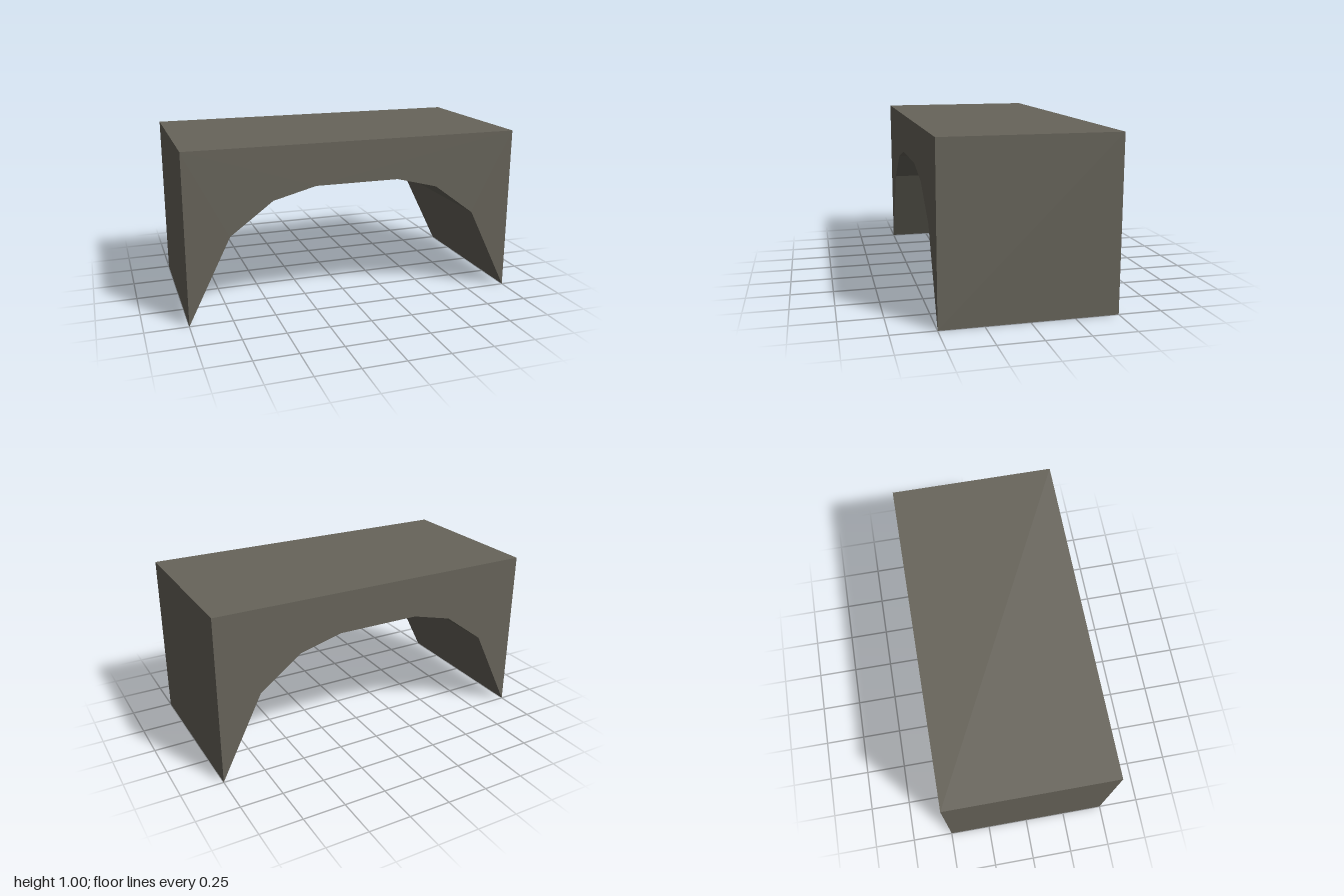
import * as THREE from 'three';

export function createModel() {
  const model = new THREE.Group();
  model.name = 'archBridge';

  const stone = new THREE.MeshStandardMaterial({ color: 0x67645a });
  stone.name = 'dark stone';

  // Underside of the arch, from the left foot to the crown, then mirrored
  const half = [[-1, 0], [-0.75, 0.505], [-0.5, 0.69], [-0.25, 0.755]];
  const arch = [...half, ...half.map(([x, y]) => [-x, y]).reverse()];

  // Block outline: arch below, flat deck on top
  const outline = new THREE.Shape(
    [...arch, [1, 1], [-1, 1]].map(([x, y]) => new THREE.Vector2(x, y))
  );

  const depth = 1;
  const geometry = new THREE.ExtrudeGeometry(outline, { depth, bevelEnabled: false });
  geometry.translate(0, 0, -depth / 2);

  const block = new THREE.Mesh(geometry, stone);
  block.name = 'archBlock';
  model.add(block);
  return model;
}
